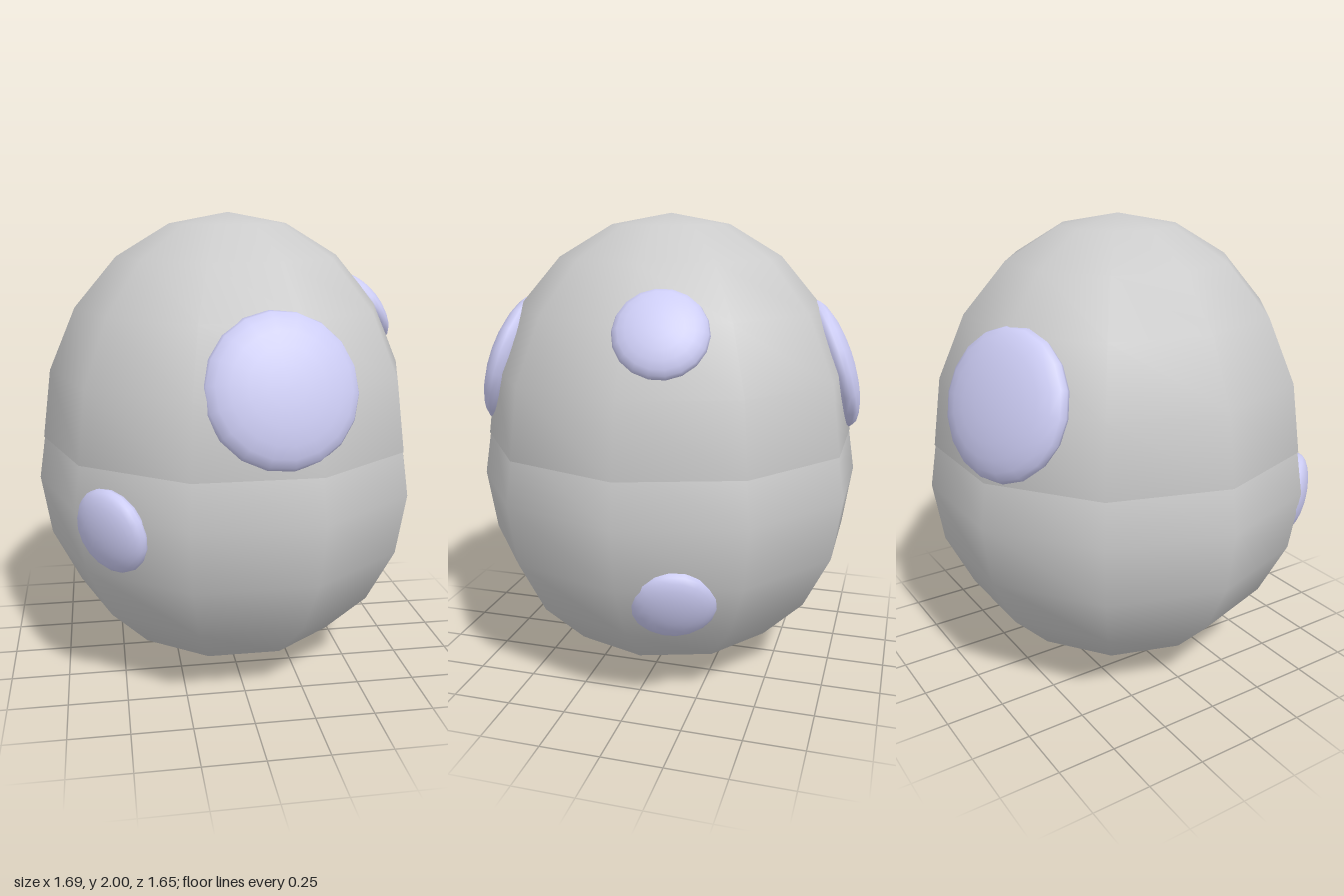
import * as THREE from 'three';

export function createModel() {
  const model = new THREE.Group();
  model.name = 'spottedEgg';
  const shellMat = new THREE.MeshStandardMaterial({ color: 0xcccccc, side: THREE.DoubleSide });
  const spotMat = new THREE.MeshStandardMaterial({ color: 0xccccf4 });

  // Ten-sided shell half: a stretched sphere between two polar angles
  function addShell(name, radius, height, y, rings, start, length) {
    const geo = new THREE.SphereGeometry(1, 10, rings, 0, Math.PI * 2, start * Math.PI, length * Math.PI);
    const shell = new THREE.Mesh(geo, shellMat);
    shell.name = name;
    shell.scale.set(radius, height, radius);
    shell.position.y = y;
    model.add(shell);
  }
  addShell('upperShell', 0.82, 0.96, 1.04, 5, 0, 0.5);
  // The lower shell tucks slightly under the upper one
  addShell('lowerShell', 0.845, 0.85, 0.855, 6, 0.4, 0.6);

  // Flattened spots half sunk into the shell: centre, outward normal, radius, half thickness
  const up = new THREE.Vector3(0, 1, 0);
  const spotGeo = new THREE.SphereGeometry(1, 18, 12);
  const spots = [
    ['largeFrontSpot', [0.1, 1.36, 0.69], [0.08, 0.31, 0.95], 0.305, 0.095],
    ['largeBackSpot', [-0.25, 1.34, -0.67], [-0.32, 0.3, -0.9], 0.305, 0.095],
    ['upperSideSpot', [0.64, 1.57, -0.14], [0.81, 0.55, -0.18], 0.185, 0.07],
    ['lowerFrontSpot', [-0.545, 0.795, 0.57], [-0.7, -0.14, 0.7], 0.178, 0.07],
    ['lowerSideSpot', [0.68, 0.515, -0.2], [0.88, -0.4, -0.25], 0.175, 0.07],
  ];
  for (const [name, centre, normal, radius, depth] of spots) {
    const spot = new THREE.Mesh(spotGeo, spotMat);
    spot.name = name;
    spot.position.set(...centre);
    spot.quaternion.setFromUnitVectors(up, new THREE.Vector3(...normal).normalize());
    spot.scale.set(radius, depth, radius);
    model.add(spot);
  }
  return model;
}
